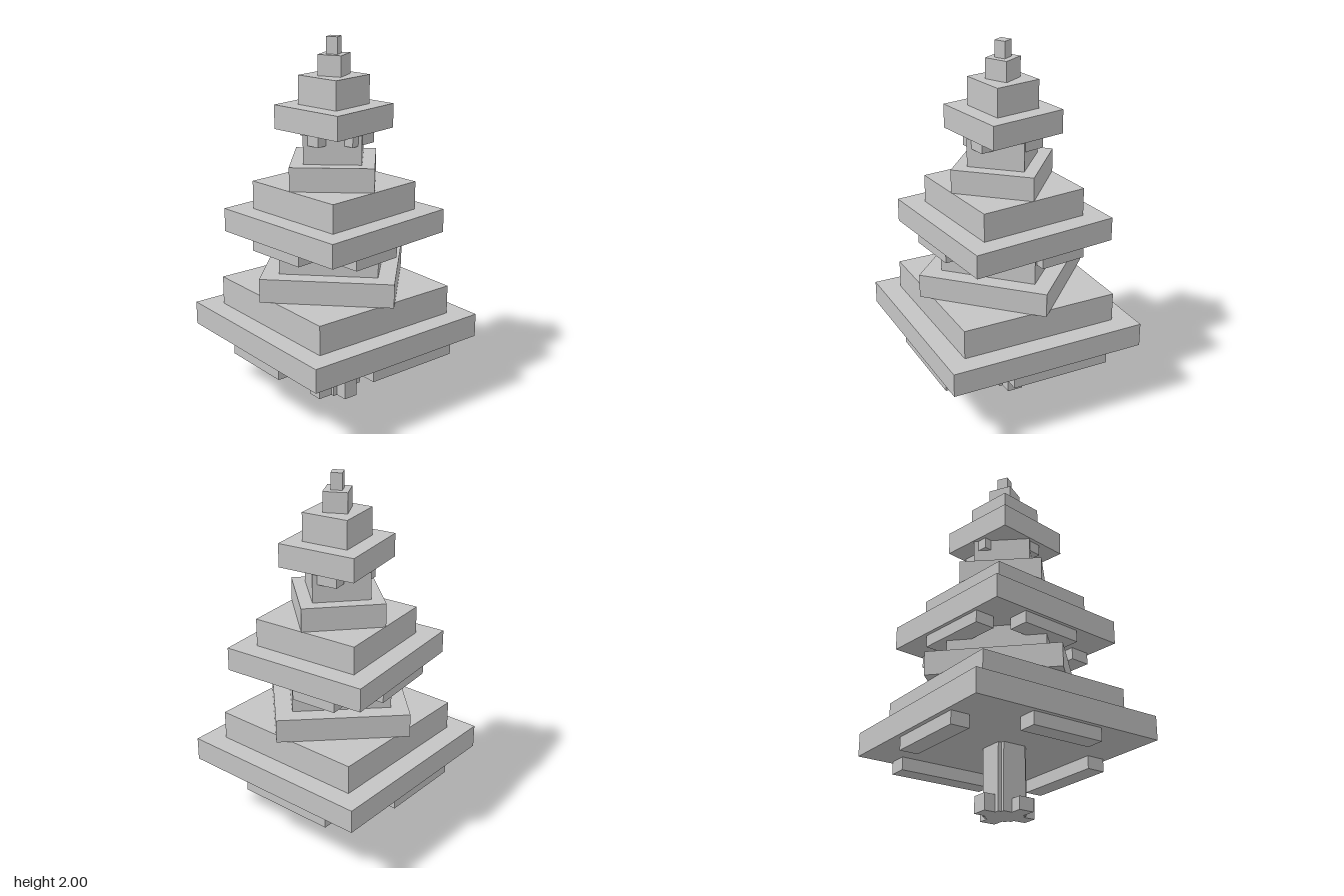
import * as THREE from 'three';

export function createModel() {
  const tree = new THREE.Group();
  tree.name = 'blockTree';
  const grey = new THREE.MeshStandardMaterial({ color: 0xc4c4c4 });
  grey.name = 'plain grey';

  // Box given by its lower and upper limits on each axis
  function box(parent, name, x0, x1, y0, y1, z0, z1) {
    const mesh = new THREE.Mesh(new THREE.BoxGeometry(x1 - x0, y1 - y0, z1 - z0), grey);
    mesh.position.set((x0 + x1) / 2, (y0 + y1) / 2, (z0 + z1) / 2);
    mesh.name = name;
    parent.add(mesh);
  }

  // Square foliage layers: width, bottom, top, turn in degrees
  const layers = [
    [1.11, 0.36, 0.49, 0],
    [0.885, 0.49, 0.65, 0],
    [0.707, 0.65, 0.78, 45],
    [0.525, 0.78, 0.94, 45],
    [0.84, 0.94, 1.07, 5.8],
    [0.618, 1.07, 1.225, 5.8],
    [0.443, 1.225, 1.355, 48.5],
    [0.307, 1.355, 1.515, 48.5],
    [0.444, 1.515, 1.645, 9.8],
    [0.265, 1.645, 1.8, 9.8],
    [0.131, 1.8, 1.91, 29.5],
    [0.062, 1.91, 2, 30.5],
  ];
  layers.forEach(([w, y0, y1, turn], i) => {
    const layer = new THREE.Group();
    layer.name = 'foliageLayer' + (i + 1);
    layer.rotation.y = THREE.MathUtils.degToRad(turn);
    box(layer, 'foliage', -w / 2, w / 2, y0, y1, -w / 2, w / 2);
    tree.add(layer);
  });

  // Hanging strips under the widest layers, each side with its own span
  const fringes = [
    { turn: 0, y0: 0.29, y1: 0.36, inner: 0.425, outer: 0.53,
      front: [-0.21, 0.205], back: [-0.36, 0.2], left: [-0.39, 0.16], right: [-0.16, 0.31] },
    { turn: 5.8, y0: 0.875, y1: 0.94, inner: 0.285, outer: 0.4,
      front: [-0.21, 0.15], back: [-0.25, 0.01], left: [-0.07, 0.23], right: [-0.17, 0.24] },
    { turn: 9.8, y0: 1.455, y1: 1.515, inner: 0.125, outer: 0.2,
      front: [-0.015, 0.07], back: [-0.11, 0.02], left: [-0.09, 0.08], right: [-0.03, 0.05] },
  ];
  fringes.forEach((f, i) => {
    const fringe = new THREE.Group();
    fringe.name = 'fringe' + (i + 1);
    fringe.rotation.y = THREE.MathUtils.degToRad(f.turn);
    box(fringe, 'frontStrip', ...f.front, f.y0, f.y1, f.inner, f.outer);
    box(fringe, 'backStrip', ...f.back, f.y0, f.y1, -f.outer, -f.inner);
    box(fringe, 'leftStrip', f.inner, f.outer, f.y0, f.y1, ...f.left);
    box(fringe, 'rightStrip', -f.outer, -f.inner, f.y0, f.y1, ...f.right);
    tree.add(fringe);
  });

  // Trunk of two crossed posts
  box(tree, 'trunkWide', -0.09, 0.085, 0, 0.36, -0.065, 0.07);
  box(tree, 'trunkDeep', -0.07, 0.065, 0, 0.36, -0.085, 0.09);

  // Roots of different heights
  box(tree, 'frontRoot', -0.02, 0.065, 0, 0.07, 0.09, 0.155);
  box(tree, 'backRoot', -0.045, 0.045, 0, 0.135, -0.155, -0.085);
  box(tree, 'leftRoot', 0.085, 0.155, 0, 0.11, -0.04, 0.045);
  box(tree, 'rightRoot', -0.155, -0.09, 0, 0.09, -0.045, 0.045);

  return tree;
}
